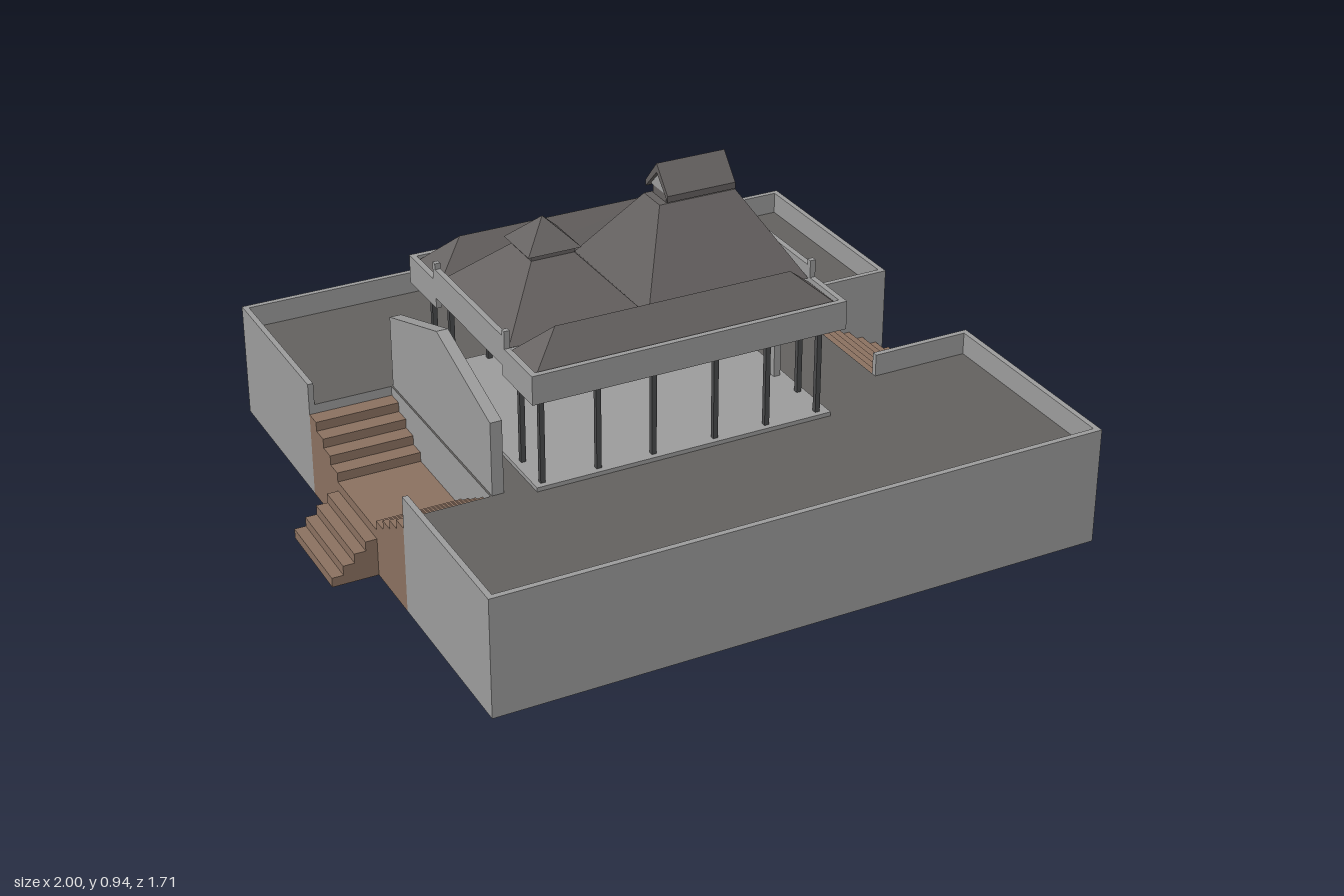
import * as THREE from 'three';

const mat = (name, color) => {
  const m = new THREE.MeshStandardMaterial({ color });
  m.name = name;
  return m;
};

export function createModel() {
  const stone = mat('stone', 0x9c9c9c);
  const paving = mat('paving', 0x63615f);
  const tile = mat('roof tile', 0x656160);
  const iron = mat('dark post', 0x4a4b4c);
  const timber = mat('stair timber', 0x8b7160);

  const model = new THREE.Group();
  model.name = 'pavilionOnTerrace';

  const add = (name, geo, m) => {
    const mesh = new THREE.Mesh(geo, m);
    mesh.name = name;
    model.add(mesh);
    return mesh;
  };
  // box given by its limits on each axis
  const box = (name, m, x0, x1, y0, y1, z0, z1) => {
    const g = new THREE.BoxGeometry(x1 - x0, y1 - y0, z1 - z0);
    g.translate((x0 + x1) / 2, (y0 + y1) / 2, (z0 + z1) / 2);
    return add(name, g, m);
  };
  // closed solid between two level rectangles [x0, x1, z0, z1]
  const hip = (name, m, lo, y0, hi, y1) => {
    const ring = ([x0, x1, z0, z1], y) => [[x0, y, z1], [x1, y, z1], [x1, y, z0], [x0, y, z0]];
    const a = ring(lo, y0), b = ring(hi, y1), pos = [];
    const quad = (p, q, r, s) => pos.push(...p, ...q, ...r, ...p, ...r, ...s);
    for (let i = 0; i < 4; i++) {
      const j = (i + 1) % 4;
      quad(a[i], a[j], b[j], b[i]);
    }
    quad(...b);
    quad(a[3], a[2], a[1], a[0]);
    const g = new THREE.BufferGeometry();
    g.setAttribute('position', new THREE.Float32BufferAttribute(pos, 3));
    g.computeVertexNormals();
    return add(name, g, m);
  };
  // outline in (z, y), extruded along x from x0 to x1
  const slab = (name, m, shape, x0, x1) => {
    const g = new THREE.ExtrudeGeometry(shape, { depth: x1 - x0, bevelEnabled: false, curveSegments: 10 });
    g.rotateY(Math.PI / 2);
    g.translate(x0, 0, 0);
    return add(name, g, m);
  };
  const poly = (pts) => new THREE.Shape(pts.map(([a, b]) => new THREE.Vector2(a, b)));

  // Terrace with a stair notch at each end: stone body under a thin paved top
  const W = -0.87, E = 0.884, Z = 0.855, floor = 0.275, rim = 0.34, t = 0.016;
  const nw = -0.63, ne = 0.58, zw = 0.33, ze = 0.212;
  const plan = poly([
    [W, -Z], [E, -Z], [E, -ze], [ne, -ze], [ne, ze], [E, ze],
    [E, Z], [W, Z], [W, zw], [nw, zw], [nw, -zw], [W, -zw],
  ]);
  const layer = (name, m, y0, y1) => {
    const g = new THREE.ExtrudeGeometry(plan, { depth: y1 - y0, bevelEnabled: false });
    g.rotateX(-Math.PI / 2);
    g.translate(0, y0, 0);
    add(name, g, m);
  };
  layer('terrace', stone, 0, floor - 0.004);
  layer('terracePaving', [paving, stone], floor - 0.004, floor);

  // Parapets, mirrored front and back
  for (const s of [1, -1]) {
    const wall = (x0, x1, za, zb) =>
      box('parapet', stone, x0, x1, floor, rim, Math.min(s * za, s * zb), Math.max(s * za, s * zb));
    wall(W, E, Z - t, Z);
    wall(W, W + t, zw, Z - t);
    wall(E - t, E, ze, Z - t);
    wall(ne, E - t, ze, ze + t);
  }

  // Straight stair on the left end
  const rise = 0.0275, tread = (1 - ne) / 9;
  for (let i = 0; i < 9; i++) {
    const x1 = 1 - i * tread;
    box('stairStep', timber, x1 - tread, x1, 0, rise * (i + 1), -ze, ze);
  }

  // Split stair on the right end: short flight, landing, two side flights
  const zl = 0.137;
  for (let i = 0; i < 4; i++) {
    box('lowerStep', timber, -1 + i * 0.0325, -1 + (i + 1) * 0.0325, 0, rise * (i + 1), -zl, zl);
  }
  box('landing', timber, W, nw, 0, rise * 5, -zl, zl);
  const run = (zw - zl) / 4;
  for (const s of [1, -1]) {
    for (let i = 0; i < 4; i++) {
      const a = s * (zl + i * run), b = s * (zl + (i + 1) * run);
      box('sideStep', timber, W, nw, 0, rise * (6 + i), Math.min(a, b), Math.max(a, b));
    }
  }

  // Gabled screen wall behind the landing
  slab('screenWall', stone, poly([[-zw, 0.27], [zw, 0.27], [zw, 0.487], [0, 0.595], [-zw, 0.487]]), -0.625, -0.592);

  // Pavilion floor
  box('pavilionFloor', stone, -0.515, 0.355, floor, 0.287, -0.365, 0.365);

  // Posts
  const post = (x, z) => box('post', iron, x - 0.007, x + 0.007, 0.285, 0.58, z - 0.007, z + 0.007);
  for (const s of [1, -1]) {
    for (const x of [-0.49, -0.33, -0.17, 0.012, 0.167, 0.323]) post(x, s * 0.342);
    for (const x of [-0.49, 0.335]) post(x, s * 0.223);
  }

  // Arched entrance portal
  const portal = poly([[-0.122, 0.285], [-0.085, 0.285], [-0.085, 0.525]]);
  portal.quadraticCurveTo(-0.05, 0.558, 0, 0.558);
  portal.quadraticCurveTo(0.05, 0.558, 0.085, 0.525);
  for (const [z, y] of [[0.085, 0.285], [0.122, 0.285], [0.122, 0.578], [-0.122, 0.578]]) portal.lineTo(z, y);
  slab('entrancePortal', stone, portal, 0.318, 0.338);

  // Eaves beams around the roofs
  const ew = -0.535, ee = 0.376, ez = 0.393, b = 0.016;
  for (const s of [1, -1]) {
    const c = s * (ez - b / 2);
    box('eavesBeam', stone, ew, ee, 0.545, 0.627, c - b / 2, c + b / 2);
    box('innerBeam', stone, ew + b, ee - b, 0.555, 0.61, s * 0.22 - 0.006, s * 0.22 + 0.006);
  }
  for (const x of [ew, ee - b]) {
    box('centreEndBeam', stone, x, x + b, 0.575, 0.66, -0.213, 0.213);
    for (const s of [1, -1]) {
      const m = s * (0.228 + ez - b) / 2, h = (ez - b - 0.228) / 2;
      box('sideEndBeam', stone, x, x + b, 0.545, 0.627, m - h, m + h);
      box('endPier', stone, x, x + b, 0.545, 0.677, s * 0.2205 - 0.0075, s * 0.2205 + 0.0075);
    }
  }

  // Low hipped roofs over the side aisles, meeting the main roofs
  const rw = ew + b, re = ee - b, zr = 0.219;
  for (const s of [1, -1]) {
    const z = s * 0.298;
    hip('aisleRoof', tile, [rw, re, z - 0.079, z + 0.079], 0.612, [-0.425, 0.257, z, z], 0.7);
  }

  // Pyramid roof with a small capped lantern
  const px = -0.317;
  hip('pyramidRoof', tile, [rw, -0.12, -zr, zr], 0.622, [px - 0.06, px + 0.06, -0.06, 0.06], 0.77);
  box('lanternNeck', tile, px - 0.062, px + 0.062, 0.765, 0.785, -0.062, 0.062);
  hip('lanternCap', tile, [px - 0.076, px + 0.076, -0.076, 0.076], 0.785, [px, px, 0, 0], 0.86);

  // Tall hipped roof with a gabled ridge vent
  hip('tallRoof', tile, [-0.12, re, -zr, zr], 0.622, [0.003, 0.23, -0.045, 0.045], 0.84);
  box('ventNeck', tile, 0.026, 0.212, 0.835, 0.862, -0.038, 0.038);
  slab('ventGable', stone, poly([[-0.05, 0.862], [0.05, 0.862], [0, 0.912]]), 0.026, 0.212);
  slab('ventRoof', tile, poly([
    [-0.063, 0.851], [0, 0.914], [0.063, 0.851], [0.063, 0.869], [0, 0.94], [-0.063, 0.869],
  ]), 0.017, 0.22);

  return model;
}
